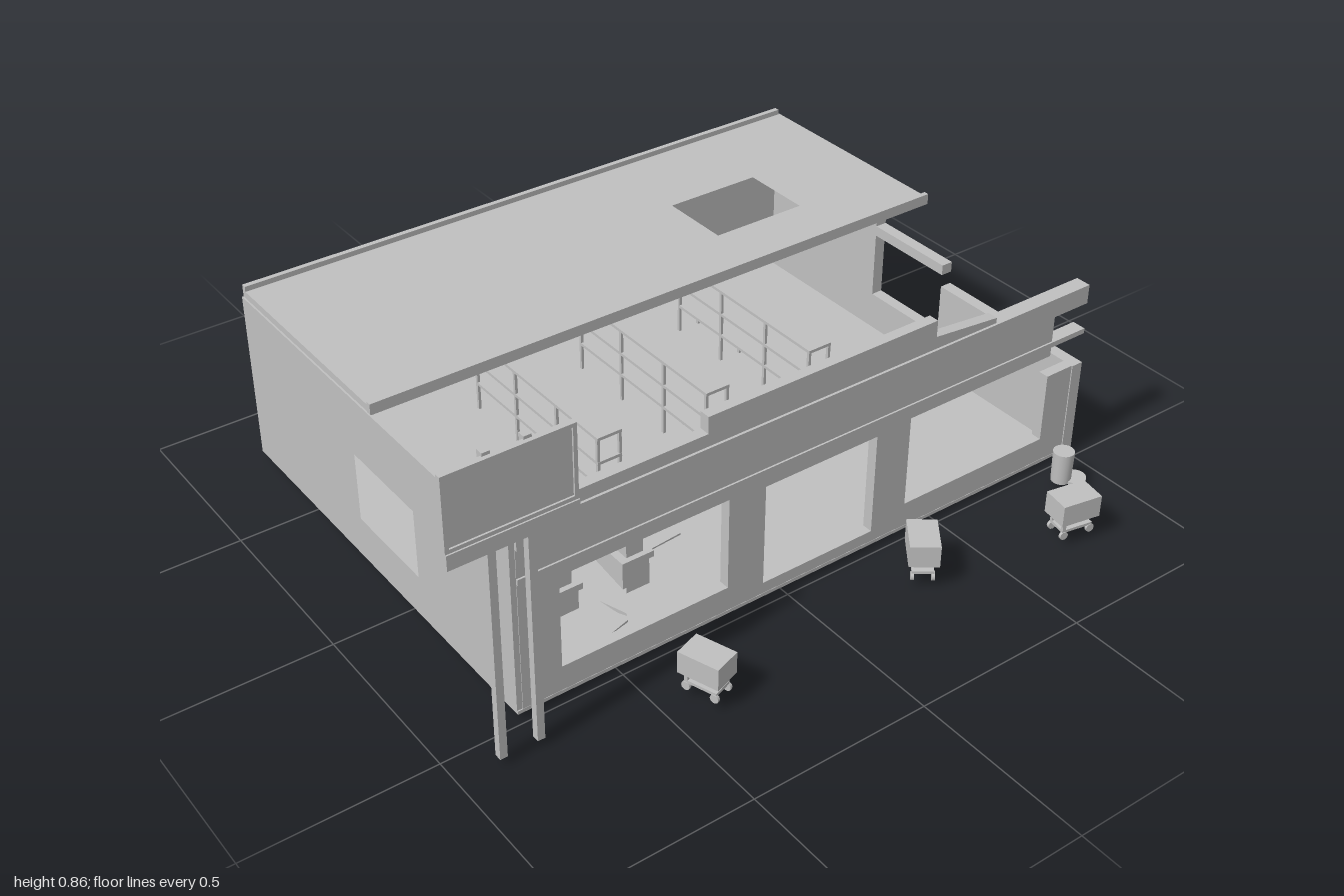
import * as THREE from 'three';

const concrete = new THREE.MeshStandardMaterial({ color: 0xc0c0c0 });
concrete.name = 'concrete grey';

export function createModel() {
  const model = new THREE.Group();

  const add = (name, geometry, parent = model) => {
    const mesh = new THREE.Mesh(geometry, concrete);
    mesh.name = name;
    parent.add(mesh);
    return mesh;
  };
  // box from its limits on each axis
  const box = (name, x0, x1, y0, y1, z0, z1, parent) => {
    const g = new THREE.BoxGeometry(x1 - x0, y1 - y0, z1 - z0);
    g.translate((x0 + x1) / 2, (y0 + y1) / 2, (z0 + z1) / 2);
    return add(name, g, parent);
  };
  const toShape = (pts) => new THREE.Shape(pts.map(([a, b]) => new THREE.Vector2(a, b)));
  const rect = (a0, a1, b0, b1) => [[a0, b0], [a1, b0], [a1, b1], [a0, b1]];
  const plate = (pts, holes, depth) => {
    const shape = toShape(pts);
    holes.forEach((h) => shape.holes.push(toShape(h)));
    return new THREE.ExtrudeGeometry(shape, { depth, bevelEnabled: false });
  };
  // wall facing z, outline in x and y
  const wallZ = (name, pts, holes, z0, z1) =>
    add(name, plate(pts, holes, z1 - z0).translate(0, 0, z0));
  // wall facing x, outline in z and y
  const wallX = (name, pts, holes, x0, x1) => {
    const flip = (p) => p.map(([z, y]) => [-z, y]);
    const g = plate(flip(pts), holes.map(flip), x1 - x0);
    add(name, g.rotateY(Math.PI / 2).translate(x0, 0, 0));
  };
  // level plate, outline in x and z
  const flat = (pts, holes, y0, y1) => {
    const flip = (p) => p.map(([x, z]) => [x, -z]);
    return plate(flip(pts), holes.map(flip), y1 - y0).rotateX(-Math.PI / 2).translate(0, y0, 0);
  };

  // floor and roof
  box('floor', -0.785, 1, 0.02, 0.03, -0.8, 0.488);
  add('roof', flat(rect(-0.78, 0.99, -0.795, -0.125), [rect(0.385, 0.67, -0.51, -0.3)], 0.51, 0.53));
  box('roofFrontLip', -0.785, 0.985, 0.515, 0.545, -0.135, -0.12);
  box('roofBackLip', -0.78, 0.985, 0.51, 0.545, -0.8, -0.785);

  // front wall with the broken right corner and stepped parapet
  wallZ('frontWall', [
    [-0.77, 0.02], [0.985, 0.02], [0.985, 0.3], [0.875, 0.3], [0.875, 0.1],
    [0.39, 0.1], [0.39, 0.365], [0.875, 0.365], [0.875, 0.52], [0.66, 0.52],
    [0.66, 0.56], [0.455, 0.58], [0.455, 0.627], [-0.245, 0.627],
    [-0.245, 0.58], [-0.77, 0.58],
  ], [rect(-0.66, -0.18, 0.1, 0.365), rect(-0.07, 0.28, 0.062, 0.355)], 0.457, 0.487);
  box('parapetBand', -0.77, 0.985, 0.49, 0.545, 0.45, 0.494);
  box('lintelLedge', -0.77, 0.99, 0.395, 0.41, 0.452, 0.492);

  // back wall with its doorway
  wallZ('backWall', [
    [-0.785, 0.02], [0, 0.02], [0, 0.3], [0.21, 0.3], [0.21, 0.02],
    [1, 0.02], [1, 0.51], [-0.785, 0.51],
  ], [], -0.8, -0.768);

  // side walls: one whole, one broken down through its window
  wallX('rightWall', rect(-0.8, 0.485, 0.02, 0.51), [rect(-0.23, 0.055, 0.14, 0.338)], -0.785, -0.75);
  wallX('leftWall', [
    [-0.8, 0.02], [0.49, 0.02], [0.49, 0.3], [-0.02, 0.3], [-0.02, 0.14],
    [-0.3, 0.14], [-0.3, 0.51], [-0.8, 0.51],
  ], [], 0.965, 1);
  box('brokenLintel', 0.965, 1, 0.337, 0.368, -0.31, -0.02);

  // shelf units running back under the roof
  [-0.172, 0.175, 0.525].forEach((x) => {
    const unit = new THREE.Group();
    unit.name = 'shelfUnit';
    model.add(unit);
    [0.11, 0.18, 0.255].forEach((y) =>
      box('shelf', x - 0.038, x + 0.038, y, y + 0.009, -0.62, -0.02, unit));
    for (const z of [-0.62, -0.42, -0.22, -0.03])
      for (const s of [-1, 1]) {
        const px = x + s * 0.034;
        box('shelfPost', px - 0.004, px + 0.004, 0.03, 0.26, z, z + 0.009, unit);
      }
  });

  // checkout counters
  [-0.522, -0.312].forEach((x) => {
    const counter = new THREE.Group();
    counter.name = 'checkoutCounter';
    model.add(counter);
    box('counterBase', x - 0.04, x + 0.04, 0.03, 0.117, 0.09, 0.29, counter);
    box('counterTop', x - 0.047, x + 0.047, 0.117, 0.135, 0.08, 0.3, counter);
    box('cashRegister', x - 0.025, x + 0.025, 0.135, 0.172, 0.24, 0.285, counter);
  });

  // fallen roof slabs, each tilted by shifting its height along x and z
  const slab = (pts, base, sx, sz) => {
    const g = flat(pts, [], 0, 0.018);
    const p = g.attributes.position;
    for (let i = 0; i < p.count; i++)
      p.setY(i, p.getY(i) + base + sx * p.getX(i) + sz * p.getZ(i));
    g.computeVertexNormals();
    add('fallenSlab', g);
  };
  slab([[-0.7, 0.155], [-0.45, 0.22], [-0.4, 0.38], [-0.53, 0.41], [-0.66, 0.455], [-0.74, 0.35]], 0.0983, 0.015, -0.194);
  slab([[-0.38, -0.075], [-0.115, -0.1], [-0.095, 0.18], [-0.36, 0.2]], 0.05, 0, -0.18);
  slab([[-0.43, -0.01], [-0.36, 0.04], [-0.28, 0.2], [-0.39, 0.36], [-0.5, 0.13]], 0.07, 0, -0.14);

  // roadside sign on two posts
  const sign = new THREE.Group();
  sign.name = 'sign';
  model.add(sign);
  [-0.885, -0.785].forEach((x) => box('signPost', x - 0.01, x + 0.01, 0.02, 0.858, 0.567, 0.587, sign));
  box('signPanel', -0.99, -0.68, 0.665, 0.84, 0.583, 0.593, sign);
  const frame = plate(rect(-1, -0.672, 0.655, 0.85), [rect(-0.99, -0.682, 0.665, 0.84)], 0.016);
  add('signFrame', frame.translate(0, 0, 0.582), sign);
  box('signLowerStrip', -1, -0.672, 0.615, 0.655, 0.584, 0.602, sign);

  // abandoned shopping carts: x, z, turn
  [[-0.385, 0.675, 0.33], [0.315, 0.64, -0.65], [0.735, 0.745, 1.39]].forEach(([x, z, turn]) => {
    const cart = new THREE.Group();
    cart.name = 'shoppingCart';
    cart.position.set(x, 0, z);
    cart.rotation.y = turn;
    model.add(cart);
    box('basket', -0.039, 0.039, 0.073, 0.135, -0.057, 0.057, cart);
    box('cartFrame', -0.028, 0.028, 0.042, 0.05, -0.045, 0.045, cart);
    for (const s of [-1, 1]) {
      box('cartStrut', s * 0.024 - 0.004, s * 0.024 + 0.004, 0.045, 0.075, -0.045, -0.035, cart);
      for (const w of [-1, 1]) {
        const wheel = add('cartWheel', new THREE.CylinderGeometry(0.012, 0.012, 0.008, 10), cart);
        wheel.rotation.z = Math.PI / 2;
        wheel.position.set(s * 0.026, 0.033, w * 0.04);
      }
    }
  });

  // waste bin with its lid on the ground
  add('wasteBin', new THREE.CylinderGeometry(0.029, 0.027, 0.092, 20)).position.set(0.875, 0.066, 0.575);
  add('binLid', new THREE.CylinderGeometry(0.032, 0.032, 0.008, 20)).position.set(0.905, 0.024, 0.595);

  return model;
}
